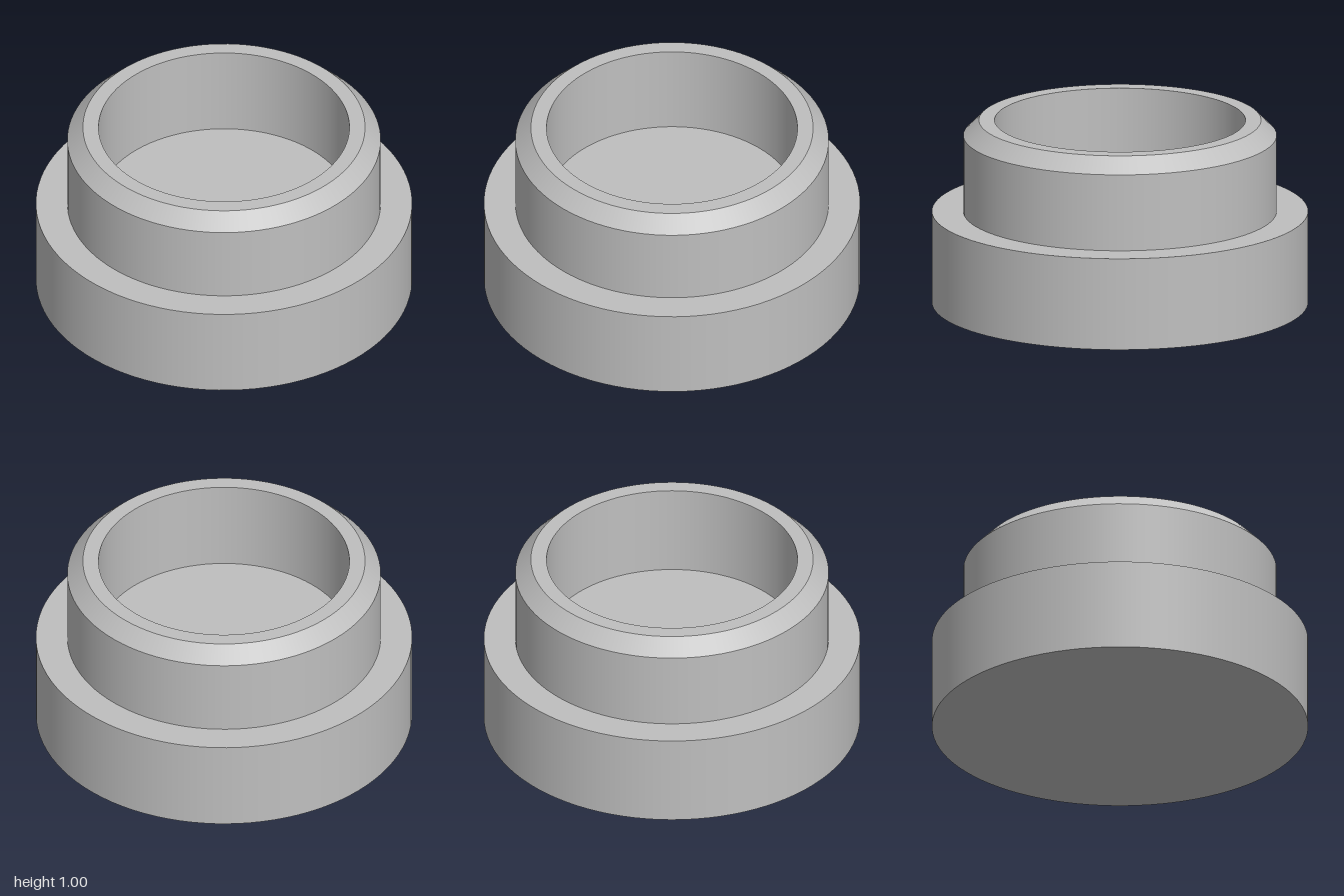
import * as THREE from 'three';
import { mergeGeometries } from 'three/addons/utils/BufferGeometryUtils.js';

const SEGMENTS = 96;

// Revolve each profile span on its own so the rims between spans stay crisp.
function turned(name, profile, material) {
  const bands = [];
  for (let i = 0; i < profile.length - 1; i++) {
    const span = [profile[i], profile[i + 1]].map(([r, y]) => new THREE.Vector2(r, y));
    bands.push(new THREE.LatheGeometry(span, SEGMENTS));
  }
  const mesh = new THREE.Mesh(mergeGeometries(bands), material);
  mesh.name = name;
  return mesh;
}

export function createModel() {
  const grey = new THREE.MeshStandardMaterial({ color: 0xbfbfbf });
  grey.name = 'grey';

  const baseRadius = 1, collarRadius = 0.833, rimRadius = 0.75, boreRadius = 0.667;
  const baseTop = 0.5, chamferStart = 0.917, top = 1, floor = 0.5;

  const group = new THREE.Group();
  group.name = 'flangedBushing';
  group.add(
    // Wide base: underside, wall and ledge
    turned('baseFlange', [[0, 0], [baseRadius, 0], [baseRadius, baseTop], [collarRadius, baseTop]], grey),
    // Narrower collar with a chamfered top and flat rim
    turned('collar', [[collarRadius, baseTop], [collarRadius, chamferStart], [rimRadius, top], [boreRadius, top]], grey),
    // Blind bore: inner wall and floor
    turned('bore', [[boreRadius, top], [boreRadius, floor], [0, floor]], grey)
  );
  return group;
}
